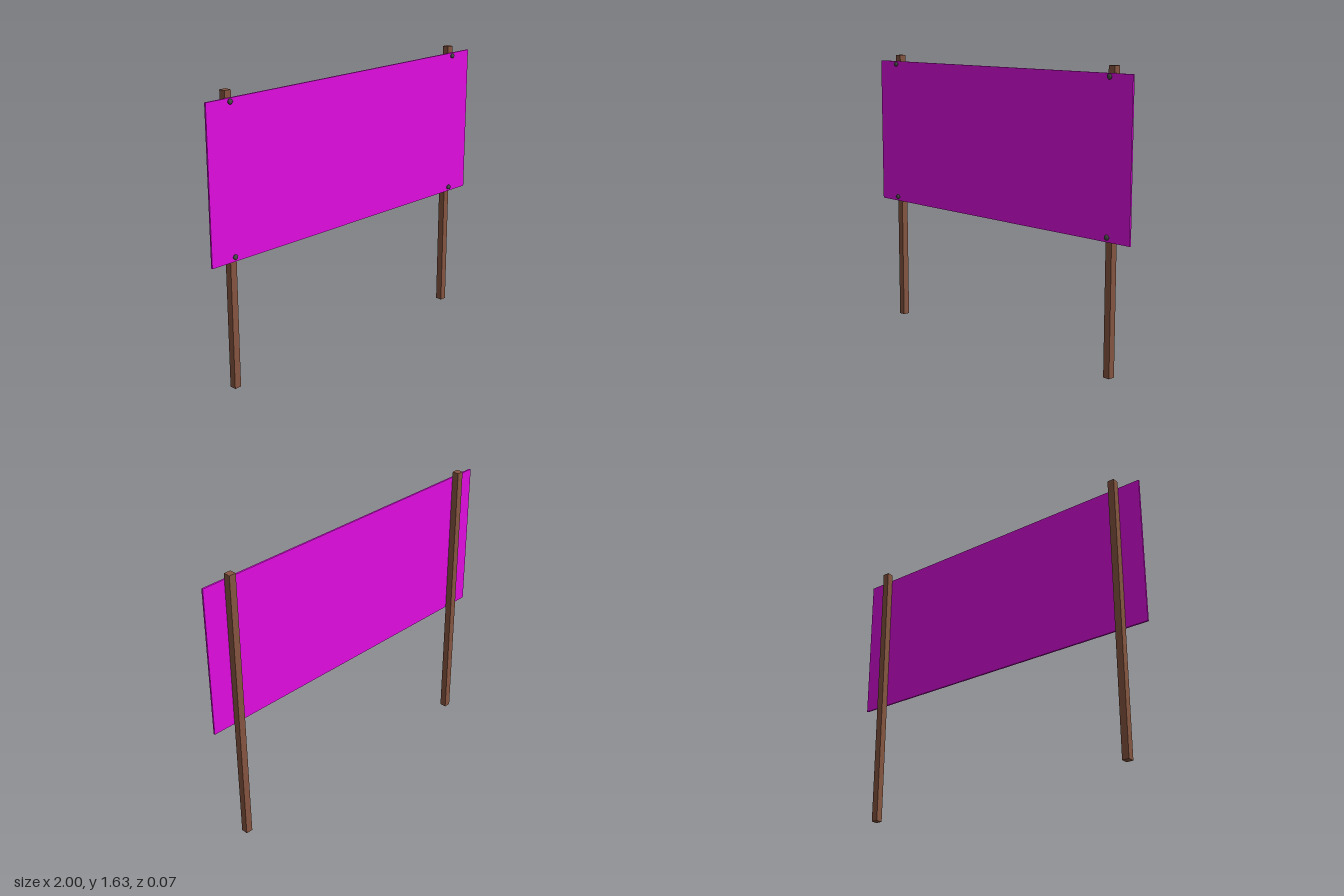
import * as THREE from 'three';

const material = (color) => new THREE.MeshStandardMaterial({ color });

export function createModel() {
  const model = new THREE.Group();
  model.name = 'signboard';
  const wood = material(0x855540);
  const magenta = material(0xe00ce0);
  const metal = material(0x4a4a4a);

  function add(name, geometry, mat, x, y, z) {
    const mesh = new THREE.Mesh(geometry, mat);
    mesh.name = name;
    mesh.position.set(x, y, z);
    model.add(mesh);
  }

  // Thin board held just in front of the posts
  add('panel', new THREE.BoxGeometry(2, 0.86, 0.01), magenta, 0, 1.16, 0.016);

  // Domed bolt head with a short shank, turned to face +z
  const boltProfile = [
    [0, -0.024], [0.006, -0.024], [0.006, 0], [0.014, 0],
    [0.014, 0.005], [0.0115, 0.0095], [0.007, 0.0115], [0, 0.012],
  ].map(([r, h]) => new THREE.Vector2(r, h));
  const bolt = new THREE.LatheGeometry(boltProfile, 16).rotateX(Math.PI / 2);

  // Square posts, each with a bolt near the top and bottom of the board
  for (const [side, sign] of [['left', 1], ['right', -1]]) {
    add(side + 'Post', new THREE.BoxGeometry(0.04, 1.627, 0.04), wood, sign * 0.85, 0.8135, -0.013);
    add(side + 'UpperBolt', bolt, metal, sign * 0.85, 1.572, 0.021);
    add(side + 'LowerBolt', bolt, metal, sign * 0.85, 0.755, 0.021);
  }
  return model;
}
